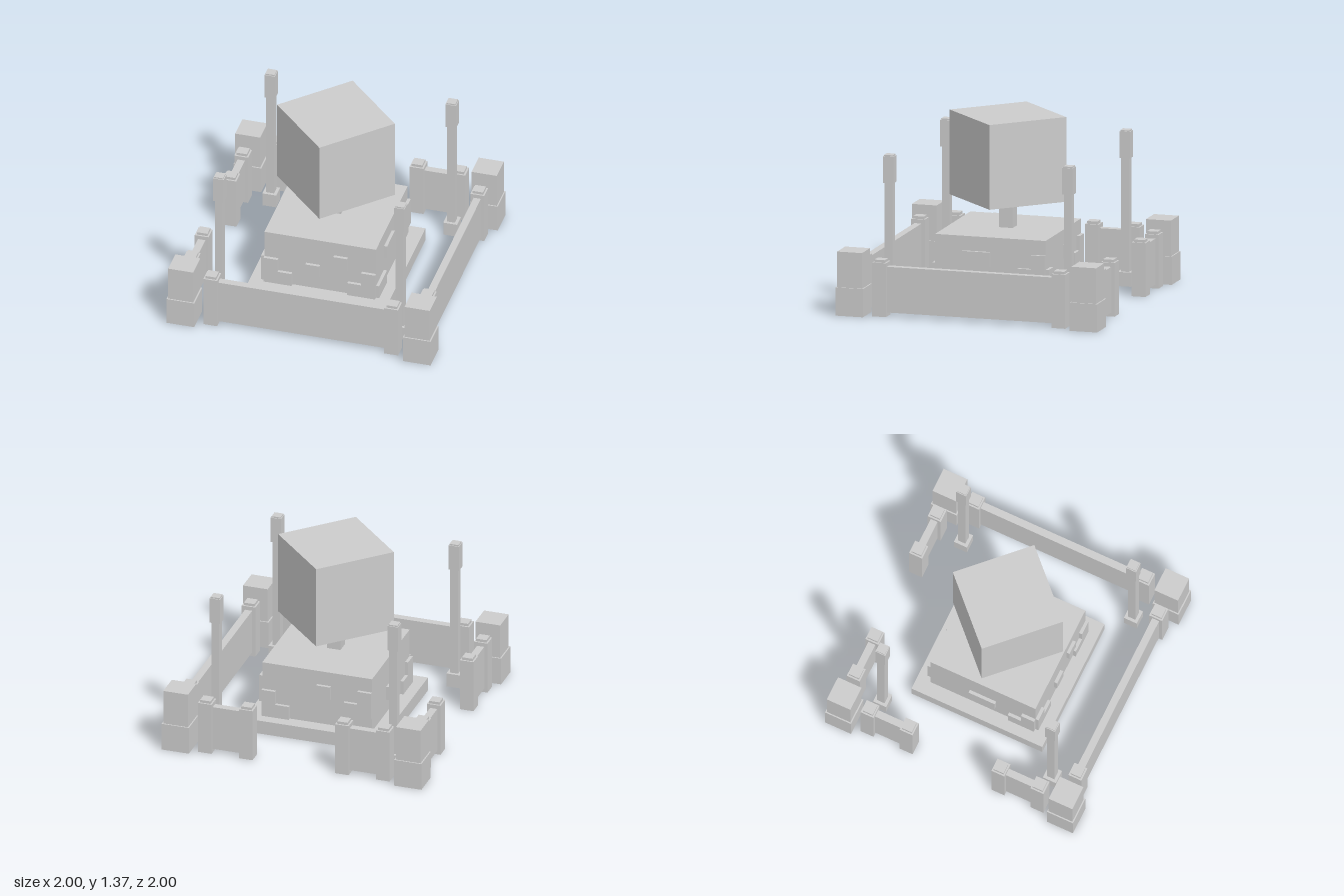
import * as THREE from 'three';

const mat = new THREE.MeshStandardMaterial({ color: 0xcccccc, flatShading: true, side: THREE.DoubleSide });

export function createModel() {
  const root = new THREE.Group();
  root.name = 'walledShrine';

  // box from its base height to its top; open boxes have no underside
  function box(parent, name, w, d, y0, y1, x = 0, z = 0, open = false) {
    const geo = new THREE.BoxGeometry(w, y1 - y0, d);
    if (open) {
      const idx = Array.from(geo.index.array);
      idx.splice(18, 6);
      geo.setIndex(idx);
    }
    const mesh = new THREE.Mesh(geo, mat);
    mesh.name = name;
    mesh.position.set(x, (y0 + y1) / 2, z);
    parent.add(mesh);
    return mesh;
  }
  function group(name) {
    const g = new THREE.Group();
    g.name = name;
    root.add(g);
    return g;
  }

  // central plinth, neck and turned cube
  const shrine = group('shrine');
  box(shrine, 'plinthBase', 1.055, 1.055, 0, 0.105, 0, 0, true);
  box(shrine, 'plinthBody', 0.845, 0.845, 0.105, 0.53);
  box(shrine, 'neck', 0.105, 0.105, 0.53, 0.745);
  box(shrine, 'cube', 0.63, 0.63, 0.74, 1.37).rotation.y = Math.PI / 4;

  // raised bricks: [start column, column count, row], columns run left to right on each face
  const u = 0.1055;
  const faces = {
    front: [0, [[0, 1, 1], [0, 2, 0], [3, 1, 1], [5, 1, 2], [6, 2, 0], [7, 1, 1]]],
    right: [Math.PI / 2, [[0, 2, 0], [2, 2, 2], [6, 1, 1], [7, 1, 1], [7, 1, 2]]],
    back: [Math.PI, [[0, 1, 1], [0, 2, 0], [4, 1, 2], [6, 2, 1], [7, 1, 2]]],
    left: [-Math.PI / 2, [[3, 2, 1], [6, 2, 0], [7, 1, 1]]],
  };
  for (const [side, [angle, list]] of Object.entries(faces)) {
    const g = group(side + 'Bricks');
    g.rotation.y = angle;
    for (const [col, n, row] of list) {
      const y = 0.105 + row * u;
      box(g, 'brick', n * u, 0.025, y, y + u, -0.422 + (col + n / 2) * u, 0.434);
    }
  }

  // corner pillars and tall lamp posts
  const e = 0.895, p = 0.685;
  for (const sx of [-1, 1]) for (const sz of [-1, 1]) {
    const pillar = group('cornerPillar');
    box(pillar, 'pillarBase', 0.21, 0.21, 0, 0.21, sx * e, sz * e, true);
    box(pillar, 'pillarTop', 0.19, 0.19, 0.21, 0.475, sx * e, sz * e);

    const lamp = group('lampPost');
    box(lamp, 'lampFoot', 0.105, 0.105, 0, 0.105, sx * p, sz * p, true);
    box(lamp, 'lampPole', 0.06, 0.06, 0.105, 0.95, sx * p, sz * p);
    box(lamp, 'lampHead', 0.08, 0.08, 0.95, 1.148, sx * p, sz * p);
    box(lamp, 'lampCap', 0.068, 0.068, 1.148, 1.158, sx * p, sz * p);
  }

  // wall panel between two capped posts; runs along x, or along z when alongZ is set
  function wall(name, a, b, off, alongZ) {
    const g = group(name);
    const at = (t) => (alongZ ? [off, t] : [t, off]);
    for (const t of [a, b]) {
      box(g, 'wallPost', 0.105, 0.105, 0, 0.4, ...at(t), true);
      box(g, 'wallPostCap', 0.08, 0.08, 0.4, 0.42, ...at(t));
    }
    const len = b - a - 0.1, thick = 0.055;
    const size = alongZ ? [thick, len] : [len, thick];
    box(g, 'wallPanel', ...size, 0.03, 0.37, ...at((a + b) / 2));
  }
  wall('frontWall', -p, p, 0.89, false);
  wall('leftWall', -p, p, 0.89, true);
  for (const [a, b] of [[-p, -0.37], [0.37, p]]) {
    wall('backWall', a, b, -0.897, false);
    wall('rightWall', a, b, -0.897, true);
  }
  return root;
}
